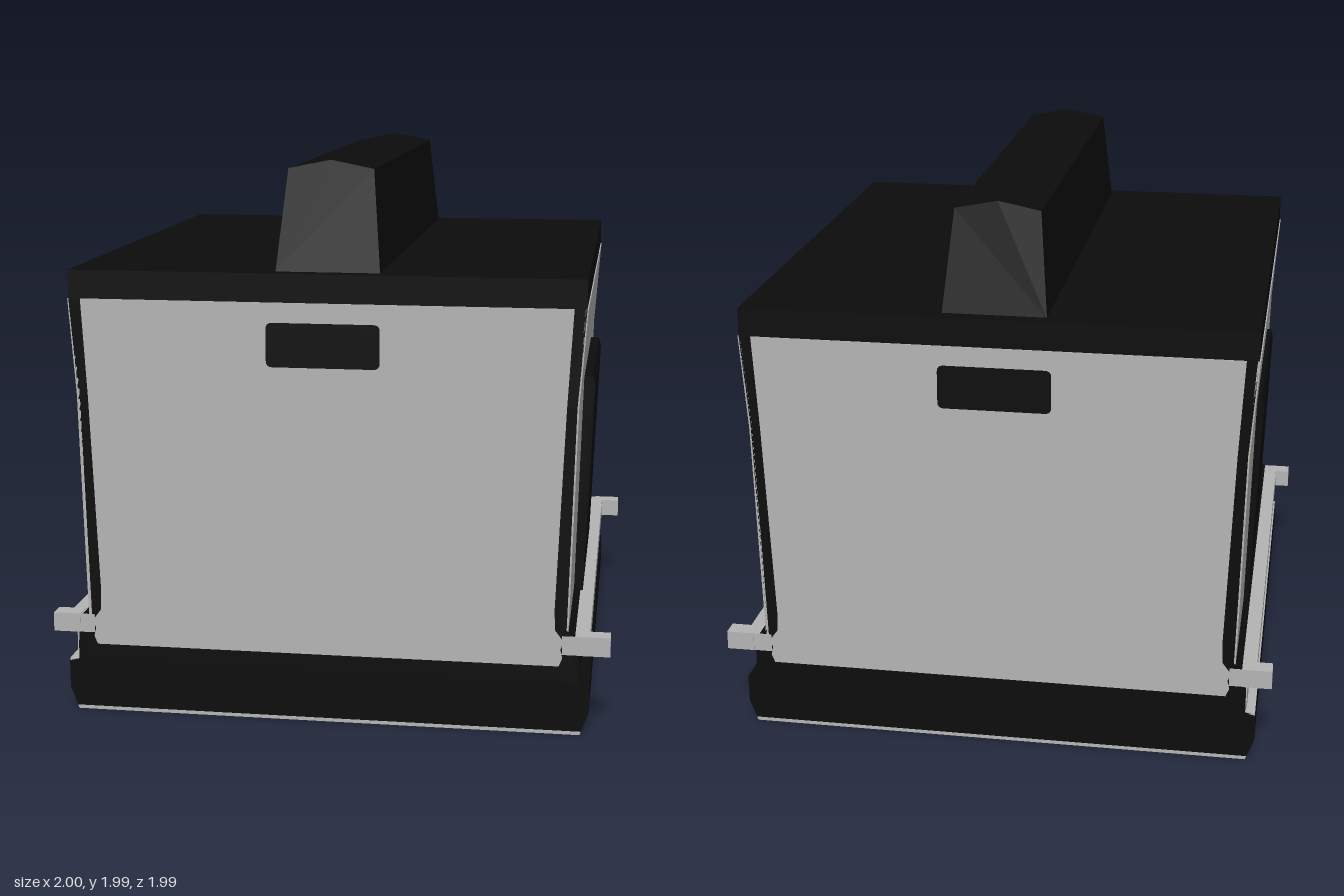
import * as THREE from 'three';

const black = new THREE.MeshStandardMaterial({ color: 0x0c0c0c, name: 'black trim' });
const grey = new THREE.MeshStandardMaterial({ color: 0xb4b4b4, name: 'light grey panel' });

export function createModel() {
  const model = new THREE.Group();

  const add = (name, geometry, material) => {
    const mesh = new THREE.Mesh(geometry, material);
    mesh.name = name;
    model.add(mesh);
    return mesh;
  };
  // Extrudes an x/y outline between two z positions
  const prism = (name, points, z0, z1, material) => {
    const shape = new THREE.Shape(points.map(([x, y]) => new THREE.Vector2(x, y)));
    const g = new THREE.ExtrudeGeometry(shape, { depth: z1 - z0, bevelEnabled: false });
    g.translate(0, 0, z0);
    return add(name, g, material);
  };
  const box = (name, x0, x1, y0, y1, z0, z1, material) => {
    const g = new THREE.BoxGeometry(x1 - x0, y1 - y0, z1 - z0);
    g.translate((x0 + x1) / 2, (y0 + y1) / 2, (z0 + z1) / 2);
    return add(name, g, material);
  };
  // Mirrors a right-hand half outline about the body's centre line
  const cx = -0.008;
  const mirrored = (half) => [
    ...half.map(([x, y]) => [cx + x, y]),
    ...half.slice().reverse().map(([x, y]) => [cx - x, y]),
  ];

  // Black shell: skirt, corner frames and roof
  prism('bodyShell', mirrored([
    [0.912, 0.012], [0.938, 0.08], [0.938, 0.18], [0.902, 0.19], [0.902, 0.3],
    [0.885, 0.36], [0.855, 0.38], [0.875, 1.17], [0.901, 1.51], [0.901, 1.61],
  ]), -0.986, 0.986, black);

  // Floor plate
  prism('floor', mirrored([[0.908, 0], [0.912, 0.012]]), -0.988, 0.988, grey);

  // Roof hump with ridge and sloping ends, lofted from two outlines
  const lower = [[-0.183, 1.605], [0.183, 1.605]];
  const upper = [[-0.15, 1.96], [0, 1.99], [0.15, 1.96]];
  const hump = new THREE.ExtrudeGeometry(
    new THREE.Shape([...lower, ...upper.slice().reverse()].map(([x, y]) => new THREE.Vector2(x, y))),
    { depth: 2, bevelEnabled: false });
  const p = hump.attributes.position;
  for (let i = 0; i < p.count; i++) {
    const halfLength = p.getY(i) < 1.7 ? 0.93 : 0.845;
    p.setZ(i, p.getZ(i) > 1 ? halfLength : -halfLength);
  }
  hump.computeVertexNormals();
  add('roofHump', hump, black);

  // End panels and their rounded vents
  const panel = mirrored([
    [0.83, 0.25], [0.842, 0.28], [0.835, 0.31], [0.845, 0.34],
    [0.815, 0.38], [0.812, 0.45], [0.84, 1.17], [0.858, 1.51],
  ]);
  const vent = new THREE.Shape();
  const [l, r, b, t, c] = [-0.207, 0.19, 1.285, 1.44, 0.022];
  vent.moveTo(l + c, b);
  vent.lineTo(r - c, b);
  vent.quadraticCurveTo(r, b, r, b + c);
  vent.lineTo(r, t - c);
  vent.quadraticCurveTo(r, t, r - c, t);
  vent.lineTo(l + c, t);
  vent.quadraticCurveTo(l, t, l, t - c);
  vent.lineTo(l, b + c);
  vent.quadraticCurveTo(l, b, l + c, b);
  for (const [s, end] of [[1, 'front'], [-1, 'back']]) {
    const z = s > 0 ? 0.984 : -0.99;
    prism(end + 'Panel', panel, z, z + 0.006, grey);
    const g = new THREE.ExtrudeGeometry(vent, { depth: 0.006, bevelEnabled: false, curveSegments: 4 });
    g.translate(0, 0, s > 0 ? 0.987 : -0.993);
    add(end + 'Vent', g, black);
  }

  for (const [s, side] of [[1, 'left'], [-1, 'right']]) {
    const place = (pts) => pts.map(([x, y]) => [cx + s * x, y]);

    // Side wall cladding with a crease at the waist
    prism(side + 'Wall', place([
      [0.85, 0.36], [0.861, 0.36], [0.881, 1.17], [0.905, 1.51], [0.895, 1.51], [0.87, 1.17],
    ]), -0.986, 0.986, grey);

    // Raised side door
    prism(side + 'Door', [
      [0.84, 0.36], [0.886, 0.36], [0.915, 1.15], [0.905, 1.18], [0.86, 1.18],
    ].map(([x, y]) => [s * x, y]), -0.44, 0.44, black);

    // Side rail with a projecting lug at each end
    const x0 = cx + s * 0.84, x1 = cx + s * 0.936;
    box(side + 'Rail', Math.min(x0, x1), Math.max(x0, x1), 0.292, 0.36, -0.988, 0.988, grey);
    for (const e of [1, -1]) {
      const lug = box(side + 'RailLug', 0.9, 1, 0.292, 0.361, 0.925, 0.99, grey);
      lug.position.set(s > 0 ? 0 : -1.9, 0, e > 0 ? 0 : -1.915);
    }
  }

  // Light sill strip and ledge below the rail on one side
  box('rightSill', -0.914, -0.908, 0.19, 0.292, -0.986, 0.986, grey);
  box('rightLedge', -0.945, -0.908, 0.178, 0.19, -0.986, 0.986, grey);

  return model;
}
